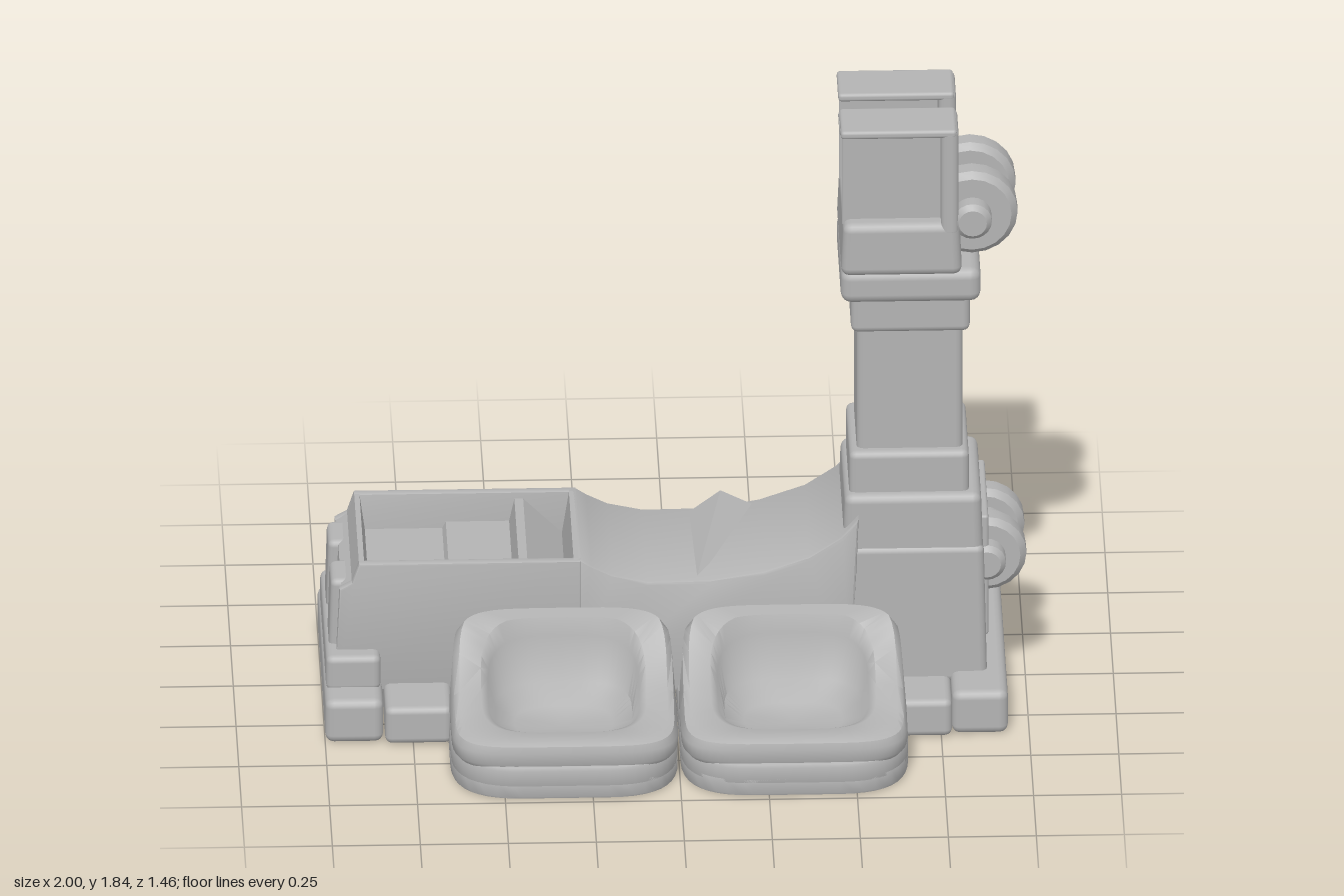
import * as THREE from 'three';
import { toCreasedNormals } from 'three/addons/utils/BufferGeometryUtils.js';
import { RoundedBoxGeometry } from 'three/addons/geometries/RoundedBoxGeometry.js';

const grey = new THREE.MeshStandardMaterial({ color: 0xb3b3b3 });
grey.name = 'plain grey';

export function createModel() {
  const root = new THREE.Group();
  root.name = 'pedestalWithTrays';

  const add = (name, geo, parent = root) => {
    const m = new THREE.Mesh(geo, grey);
    m.name = name;
    parent.add(m);
    return m;
  };

  // Rounded box from its limits; the top can be narrowed by tx, tz
  const box = (name, x0, x1, y0, y1, z0, z1, r = 0.015, tx = 1, tz = 1) => {
    const h = y1 - y0;
    const g = new RoundedBoxGeometry(x1 - x0, h, z1 - z0, 2, r);
    const p = g.attributes.position;
    for (let i = 0; i < p.count; i++) {
      const t = p.getY(i) / h + 0.5;
      p.setX(i, p.getX(i) * (1 + (tx - 1) * t));
      p.setZ(i, p.getZ(i) * (1 + (tz - 1) * t));
    }
    g.translate((x0 + x1) / 2, (y0 + y1) / 2, (z0 + z1) / 2);
    return add(name, g);
  };

  // Side profile in x, y extruded between two z values
  const slice = (name, pts, z0, z1, bevel = 0) => {
    const s = new THREE.Shape(pts.map(([x, y]) => new THREE.Vector2(x, y)));
    const g = new THREE.ExtrudeGeometry(s, {
      depth: z1 - z0 - 2 * bevel, bevelEnabled: bevel > 0,
      bevelSize: bevel, bevelThickness: bevel, bevelOffset: -bevel, bevelSegments: 2,
    });
    g.translate(0, 0, z0 + bevel);
    return add(name, toCreasedNormals(g, 0.6));
  };

  // Rounded rectangle in plan
  const roundRect = (T, x0, x1, z0, z1, r) => {
    const s = new T();
    s.moveTo(x0 + r, z0); s.lineTo(x1 - r, z0);
    s.quadraticCurveTo(x1, z0, x1, z0 + r); s.lineTo(x1, z1 - r);
    s.quadraticCurveTo(x1, z1, x1 - r, z1); s.lineTo(x0 + r, z1);
    s.quadraticCurveTo(x0, z1, x0, z1 - r); s.lineTo(x0, z0 + r);
    s.quadraticCurveTo(x0, z0, x0 + r, z0);
    return s;
  };
  const slab = (name, shape, y0, y1, bevel) => {
    const g = new THREE.ExtrudeGeometry(shape, {
      depth: y1 - y0 - 2 * bevel, bevelSize: bevel, bevelThickness: bevel,
      bevelOffset: -bevel, bevelSegments: 2, curveSegments: 10,
    });
    g.rotateX(-Math.PI / 2).translate(0, y0 + bevel, 0);
    add(name, toCreasedNormals(g, 0.7));
  };

  // Height of the bowl rim, falling away from the body
  const slope = [[0.2, 0.36], [0.3, 0.35], [0.36, 0.3], [0.44, 0.23], [0.52, 0.19], [0.62, 0.17], [0.8, 0.16]];
  const rimY = (z) => {
    for (let i = 1; i < slope.length; i++) {
      const [a, ya] = slope[i - 1], [b, yb] = slope[i];
      if (z <= b) return ya + (yb - ya) * Math.max(0, (z - a) / (b - a));
    }
    return 0.16;
  };

  // Bowl lofted from rounded rings: half x, half z, centre z, base y, share of rim height, squareness
  const rings = [
    [0.31, 0.245, 0.47, 0.09, 0, 5], [0.322, 0.252, 0.47, 0.105, 0, 5],
    [0.322, 0.252, 0.47, 0.14, 0, 5], [0.312, 0.247, 0.47, 0.13, 0.85, 5],
    [0.295, 0.235, 0.47, 0, 1, 4.5], [0.235, 0.18, 0.465, 0, 1, 3.5],
    [0.215, 0.163, 0.465, 0.12, 0.8, 3.5], [0.195, 0.145, 0.465, 0.12, 0.2, 3.2],
    [0.14, 0.1, 0.465, 0.11, 0, 2.6], [0.001, 0.001, 0.465, 0.1, 0, 2],
  ];
  const bowlGeometry = (sx, sz) => {
    const N = 48, pos = [], idx = [];
    for (const [hx, hz, cz, base, k, n] of rings) {
      for (let i = 0; i < N; i++) {
        const a = (i / N) * Math.PI * 2, c = Math.cos(a), s = Math.sin(a);
        const x = 0.326 + hx * Math.sign(c) * Math.abs(c) ** (2 / n);
        const z = cz + hz * Math.sign(s) * Math.abs(s) ** (2 / n);
        pos.push(x * sx, base + (rimY(z) - base) * k, z * sz);
      }
    }
    for (let j = 0; j < rings.length - 1; j++) {
      for (let i = 0; i < N; i++) {
        const a = j * N + i, b = j * N + (i + 1) % N, c = a + N, d = b + N;
        if (sx * sz > 0) idx.push(a, c, b, b, c, d);
        else idx.push(a, b, c, b, d, c);
      }
    }
    const g = new THREE.BufferGeometry();
    g.setAttribute('position', new THREE.Float32BufferAttribute(pos, 3));
    g.setIndex(idx);
    return toCreasedNormals(g, 0.8);
  };

  for (const sx of [-1, 1]) {
    const x0 = sx < 0 ? -0.65 : 0.004, x1 = sx < 0 ? -0.004 : 0.65;
    // Long foot with a shallow recess underneath
    slab('foot', roundRect(THREE.Shape, x0, x1, -0.73, 0.73, 0.2), 0.03, 0.1, 0.012);
    const rim = roundRect(THREE.Shape, x0, x1, -0.73, 0.73, 0.2);
    rim.holes.push(roundRect(THREE.Path, x0 + 0.04, x1 - 0.04, -0.69, 0.69, 0.18));
    slab('footRim', rim, 0, 0.06, 0.008);
    for (const sz of [-1, 1]) add('bowl', bowlGeometry(sx, sz));
  }

  // End plates of the base
  box('leftBasePlate', 0.62, 0.78, 0.005, 0.12, -0.39, 0.39, 0.02);
  box('leftEndPlate', 0.78, 0.94, 0, 0.135, -0.37, 0.37, 0.025);
  box('rightBasePlate', -0.83, -0.64, 0.005, 0.12, -0.39, 0.39, 0.02);
  box('rightEndPlate', -1, -0.835, 0, 0.135, -0.37, 0.37, 0.025);
  box('rightEndStep', -0.995, -0.84, 0.12, 0.23, -0.28, 0.28, 0.02);

  // Saddle between the tray and the column
  slice('saddle', [[-0.29, 0.08], [0.5, 0.08], [0.52, 0.62], [0.47, 0.56], [0.38, 0.5], [0.25, 0.455],
    [0.1, 0.43], [-0.08, 0.428], [-0.18, 0.45], [-0.24, 0.48], [-0.27, 0.5], [-0.29, 0.5]], -0.235, 0.225, 0.01);

  // Small fold across the saddle
  const fold = new THREE.BufferGeometry();
  fold.setAttribute('position', new THREE.Float32BufferAttribute([
    0.04, 0.42, -0.21, 0.14, 0.5, -0.2, 0.25, 0.44, -0.21, 0.06, 0.428, 0.2], 3));
  fold.setIndex([0, 1, 2, 0, 3, 1, 1, 3, 2]);
  add('saddleFold', toCreasedNormals(fold, 0.1));

  // Open-topped tray: two side walls and a floor with a cross ridge
  const wall = [[-0.97, 0.1], [-0.27, 0.1], [-0.27, 0.5], [-0.9, 0.5], [-0.92, 0.44], [-0.955, 0.42]];
  slice('trayWallFront', wall, 0.2, 0.23, 0.006);
  slice('trayWallBack', wall, -0.235, -0.205, 0.006);
  slice('trayFloor', [[-0.965, 0.1], [-0.275, 0.1], [-0.275, 0.5], [-0.29, 0.5], [-0.31, 0.37], [-0.42, 0.48],
    [-0.445, 0.48], [-0.46, 0.41], [-0.64, 0.41], [-0.65, 0.39], [-0.87, 0.39], [-0.885, 0.5],
    [-0.9, 0.5], [-0.92, 0.44], [-0.95, 0.42]], -0.21, 0.21);
  for (const s of [-1, 1]) {
    box('trayEndLug', -0.985, -0.9, 0.2, 0.43, s * 0.12 - 0.075, s * 0.12 + 0.075, 0.02, 0.85, 0.9);
  }

  // Column, from its block up to the collar
  box('columnBlock', 0.43, 0.885, 0.1, 0.52, -0.235, 0.235, 0.02, 0.96, 0.9);
  box('columnPlinth', 0.475, 0.875, 0.48, 0.675, -0.208, 0.208, 0.025, 0.97, 0.92);
  box('columnFoot', 0.495, 0.835, 0.65, 0.8, -0.165, 0.165, 0.02);
  box('columnShaft', 0.517, 0.818, 0.78, 1.2, -0.135, 0.135, 0.02);
  box('columnCap', 0.5, 0.838, 1.18, 1.31, -0.163, 0.163, 0.02);
  box('collar', 0.47, 0.868, 1.29, 1.395, -0.2, 0.2, 0.03);
  box('neck', 0.47, 0.815, 1.38, 1.54, -0.205, 0.205, 0.025, 0.96, 0.94);

  // Raised frame on the outer face of the block
  for (const s of [-1, 1]) {
    box('blockFrameSide', 0.855, 0.89, 0.22, 0.6, s * 0.165 - 0.012, s * 0.165 + 0.012, 0.008);
  }
  box('blockFrameTop', 0.855, 0.89, 0.57, 0.6, -0.17, 0.17, 0.008);
  box('blockFrameBottom', 0.855, 0.89, 0.22, 0.25, -0.17, 0.17, 0.008);

  // Hollow head, open toward the saddle, with a groove over the middle
  for (const s of [-1, 1]) {
    const a = Math.min(s * 0.04, s * 0.195), b = Math.max(s * 0.04, s * 0.195);
    box('headTop', 0.47, 0.8, 1.815, 1.84, a, b, 0.01);
    box('headPost', 0.755, 0.805, 1.5, 1.84, a, b, 0.018);
    box('headSidePanel', 0.475, 0.77, 1.52, 1.825, s * 0.14 - 0.008, s * 0.14 + 0.008, 0.004);
  }
  box('headGrooveTop', 0.47, 0.785, 1.76, 1.78, -0.06, 0.06, 0.008);
  box('headGrooveBack', 0.75, 0.785, 1.5, 1.78, -0.06, 0.06, 0.008);

  // Hinges: two round lugs on a pin
  const hinge = (x, y, r) => {
    const g = new THREE.Group();
    g.name = 'hinge';
    g.position.set(x, y, 0);
    root.add(g);
    const drum = (name, rad, len, z, bevel) => {
      const pts = [[0, -len / 2], [rad - bevel, -len / 2], [rad, -len / 2 + bevel],
        [rad, len / 2 - bevel], [rad - bevel, len / 2], [0, len / 2]];
      const geo = new THREE.LatheGeometry(pts.map(([u, v]) => new THREE.Vector2(u, v)), 20);
      geo.rotateX(Math.PI / 2).translate(0, 0, z);
      add(name, toCreasedNormals(geo, 0.6), g);
    };
    drum('hingePin', 0.055, 0.38, 0, 0.015);
    drum('hingeBarrel', 0.065, 0.2, 0, 0.01);
    for (const s of [-1, 1]) drum('hingeLug', r, 0.085, s * 0.09, 0.018);
  };
  hinge(0.885, 0.45, 0.115);
  hinge(0.845, 1.54, 0.13);

  return root;
}
